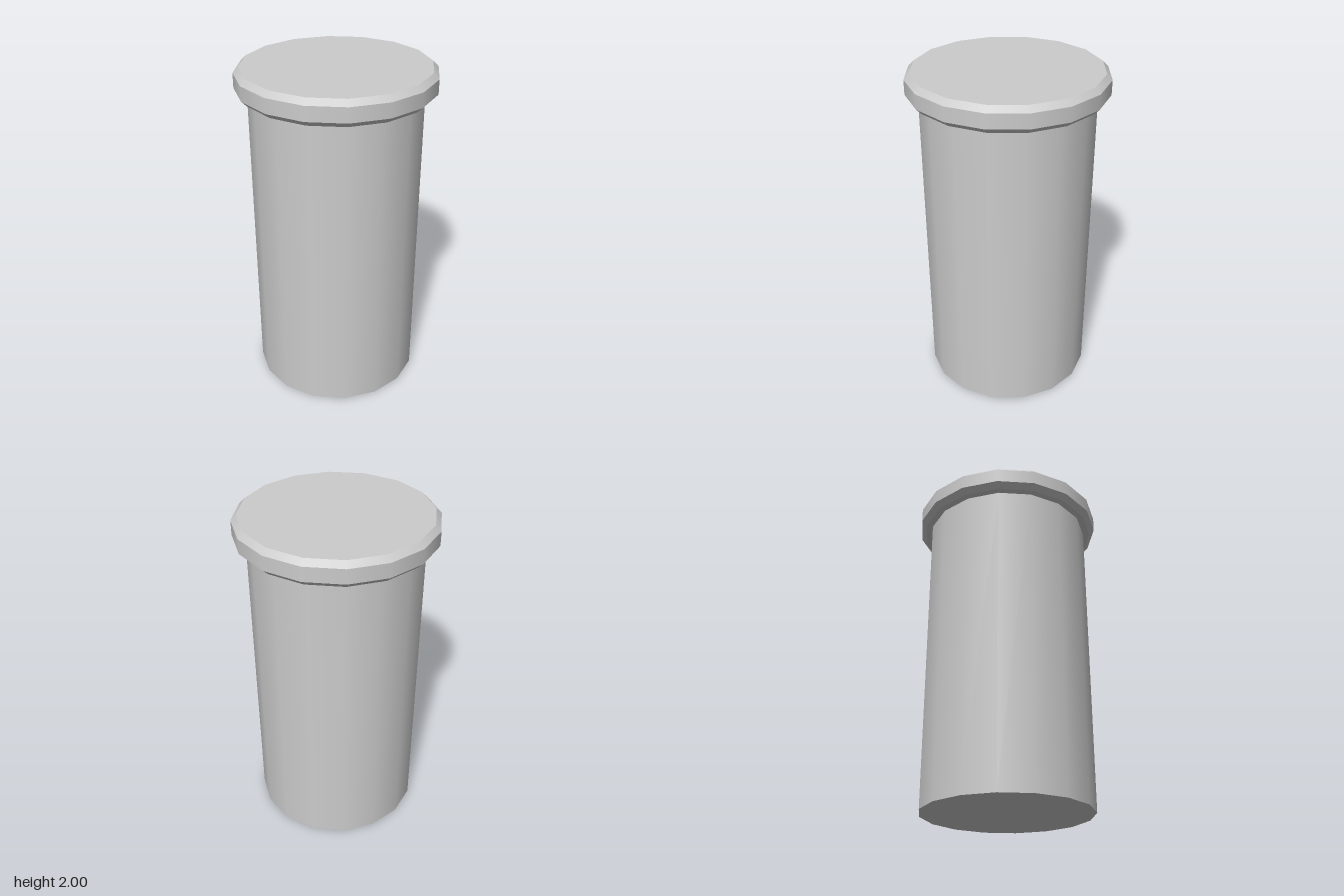
import * as THREE from 'three';

const SIDES = 16;
const material = new THREE.MeshStandardMaterial({ color: 0xcccccc });

// Adds one band of the pin: smooth around, with hard edges above and below.
function addBand(group, name, topRadius, bottomRadius, y0, y1) {
  const geometry = new THREE.CylinderGeometry(topRadius, bottomRadius, y1 - y0, SIDES, 1, true);
  const mesh = new THREE.Mesh(geometry, material);
  mesh.name = name;
  mesh.position.y = (y0 + y1) / 2;
  group.add(mesh);
}

// Adds a flat end facing up or down, or a ring when inner is above zero.
function addEnd(group, name, inner, outer, y, up) {
  const geometry = inner > 0
    ? new THREE.RingGeometry(inner, outer, SIDES)
    : new THREE.CircleGeometry(outer, SIDES);
  geometry.rotateX(up ? -Math.PI / 2 : Math.PI / 2);
  const mesh = new THREE.Mesh(geometry, material);
  mesh.name = name;
  mesh.position.y = y;
  group.add(mesh);
}

export function createModel() {
  const model = new THREE.Group();
  model.name = 'headedPin';

  const shaftRadius = 0.505, rimRadius = 0.577, bevelRadius = 0.545;
  const headBottom = 1.85, bevel = 0.032, top = 2;

  // Shaft
  const shaft = new THREE.Group();
  shaft.name = 'shaft';
  addBand(shaft, 'shaftSide', shaftRadius, shaftRadius, 0, headBottom);
  addEnd(shaft, 'shaftBottom', 0, shaftRadius, 0, false);

  // Bevelled head
  const head = new THREE.Group();
  head.name = 'head';
  addEnd(head, 'headUnderside', shaftRadius, bevelRadius, headBottom, false);
  addBand(head, 'lowerBevel', rimRadius, bevelRadius, headBottom, headBottom + bevel);
  addBand(head, 'rim', rimRadius, rimRadius, headBottom + bevel, top - bevel);
  addBand(head, 'upperBevel', bevelRadius, rimRadius, top - bevel, top);
  addEnd(head, 'headTop', 0, bevelRadius, top, true);

  model.add(shaft, head);
  return model;
}
